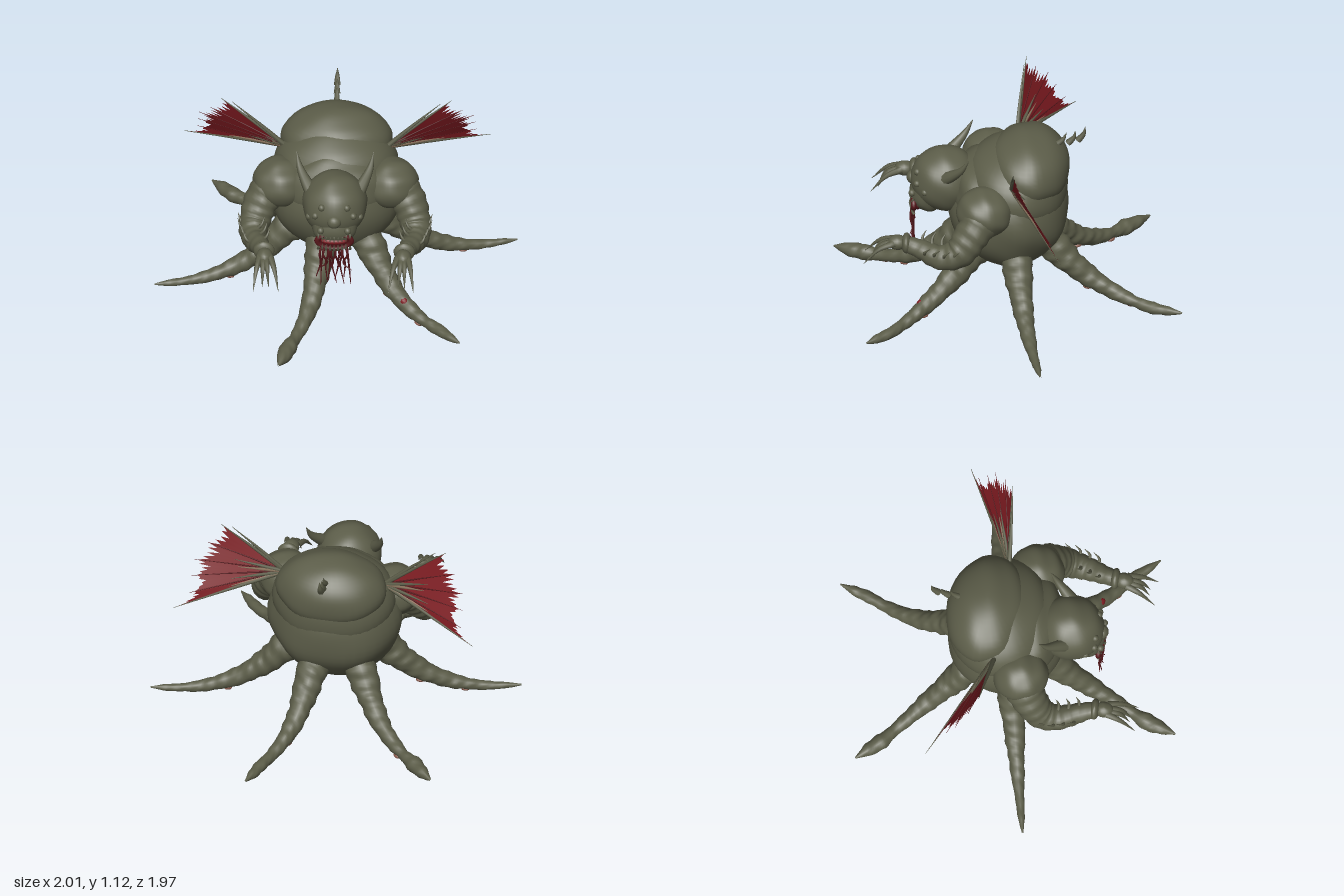
import * as THREE from 'three';
import { mergeVertices } from 'three/addons/utils/BufferGeometryUtils.js';

const mat = (name, color, side = THREE.FrontSide) => {
  const m = new THREE.MeshStandardMaterial({ color, side });
  m.name = name;
  return m;
};

export function createModel() {
  const model = new THREE.Group();
  model.name = 'creature';
  const skin = mat('olive skin', 0x5c5d49);
  const membraneRed = mat('wing red', 0x7c1a20, THREE.DoubleSide);
  const gore = mat('dark red flesh', 0x55161a);
  const sore = mat('sore pink', 0x8a5a4c);
  const bone = mat('tan bone', 0x86705a);

  const add = (parent, name, geometry, material) => {
    const mesh = new THREE.Mesh(geometry, material);
    mesh.name = name;
    parent.add(mesh);
    return mesh;
  };
  const group = (parent, name) => {
    const g = new THREE.Group();
    g.name = name;
    parent.add(g);
    return g;
  };

  // Swept limb: points are [x, y, z, radius]; bump scales the radius along and around it
  const limb = (points, rings = 24, sides = 14, bump = () => 1) => {
    const path = new THREE.CatmullRomCurve3(points.map(p => new THREE.Vector3(p[0], p[1], p[2])));
    const { normals, binormals } = path.computeFrenetFrames(rings, false);
    const pos = [], index = [];
    for (let i = 0; i <= rings; i++) {
      const t = i / rings;
      const c = path.getPointAt(t);
      // radius follows the same curve parameter as the position
      const u = path.getUtoTmapping(t) * (points.length - 1);
      const k = Math.min(Math.floor(u), points.length - 2);
      const radius = THREE.MathUtils.lerp(points[k][3], points[k + 1][3], u - k);
      for (let j = 0; j < sides; j++) {
        const a = (j / sides) * Math.PI * 2;
        const r = radius * bump(t, a);
        const v = c.clone().addScaledVector(normals[i], Math.cos(a) * r).addScaledVector(binormals[i], Math.sin(a) * r);
        pos.push(v.x, v.y, v.z);
        if (i < rings) {
          const j2 = (j + 1) % sides;
          const p = i * sides + j, q = i * sides + j2;
          index.push(p, q, p + sides, q, q + sides, p + sides);
        }
      }
    }
    const g = new THREE.BufferGeometry();
    g.setAttribute('position', new THREE.Float32BufferAttribute(pos, 3));
    g.setIndex(index);
    g.computeVertexNormals();
    return g;
  };

  // Lumpy ellipsoid
  const blob = (center, radii, lump = 0.012, w = 40, h = 28) => {
    let g = new THREE.SphereGeometry(1, w, h);
    g.deleteAttribute('uv');
    g.deleteAttribute('normal');
    g = mergeVertices(g);
    const p = g.attributes.position;
    for (let i = 0; i < p.count; i++) {
      const x = p.getX(i), y = p.getY(i), z = p.getZ(i);
      const s = 1 + lump * (Math.sin(7 * x + 3 * y) + Math.sin(8 * y - 5 * z) + Math.sin(9 * z + 4 * x));
      p.setXYZ(i, center[0] + x * radii[0] * s, center[1] + y * radii[1] * s, center[2] + z * radii[2] * s);
    }
    g.computeVertexNormals();
    return g;
  };

  const spike = (a, mid, b, r) => limb([[...a, r], [...mid, r * 0.65], [...b, 0.001]], 8, 7);

  // Body
  add(model, 'belly', blob([0, 0.565, -0.005], [0.375, 0.345, 0.335], 0.01), skin);
  add(model, 'backHump', blob([0, 0.815, -0.115], [0.31, 0.21, 0.23], 0.008), skin);
  add(model, 'upperBody', blob([0, 0.7, -0.04], [0.345, 0.27, 0.295], 0.006), skin);
  add(model, 'chest', blob([0, 0.67, 0.13], [0.29, 0.22, 0.18]), skin);

  // Spines standing behind the hump
  const spines = group(model, 'backSpines');
  [[0.95, -0.265, 1.03, -0.325], [0.965, -0.335, 1.045, -0.375], [0.985, -0.39, 1.075, -0.43]].forEach(([y, z, ty, tz]) =>
    add(spines, 'spine', spike([0, y, z], [0, (y + ty) / 2 - 0.005, (z + tz) / 2 - 0.01], [0, ty, tz], 0.02), skin));

  // Head
  const head = group(model, 'head');
  add(head, 'skull', blob([0, 0.715, 0.35], [0.18, 0.185, 0.19], 0.008), skin);
  add(head, 'muzzle', blob([0, 0.635, 0.44], [0.13, 0.12, 0.105]), skin);
  add(head, 'nose', blob([0, 0.715, 0.53], [0.04, 0.038, 0.035], 0, 16, 12), skin);
  for (const s of [-1, 1]) {
    [[0.07, 0.79, 0.5], [0.105, 0.735, 0.5], [0.075, 0.655, 0.53], [0.14, 0.7, 0.455]].forEach(e =>
      add(head, 'eye', blob([s * e[0], e[1], e[2]], [0.02, 0.02, 0.02], 0, 12, 9), skin));
    add(head, 'horn', limb([[s * 0.11, 0.76, 0.37, 0.042], [s * 0.155, 0.82, 0.31, 0.033],
      [s * 0.195, 0.885, 0.25, 0.019], [s * 0.215, 0.965, 0.205, 0.001]], 14, 10), skin);
  }

  // Mouth: red rims, dark teeth and hanging tendrils
  const mouth = group(head, 'mouth');
  const lips = add(mouth, 'lips', new THREE.TorusGeometry(0.085, 0.016, 10, 30), gore);
  lips.position.set(0, 0.58, 0.52);
  lips.scale.set(1.1, 0.55, 1);
  add(mouth, 'throat', blob([0, 0.575, 0.5], [0.09, 0.05, 0.035], 0, 20, 14), gore);
  add(mouth, 'tongue', blob([0, 0.58, 0.52], [0.075, 0.02, 0.025], 0, 16, 10), membraneRed);
  for (let i = 0; i < 9; i++) {
    const x = (i - 4) * 0.022, z = 0.54 - 0.2 * Math.abs(x);
    add(mouth, 'upperTooth', spike([x, 0.625, z - 0.005], [x, 0.61, z + 0.006], [x, 0.58, z + 0.006], 0.008), skin);
    add(mouth, 'lowerTooth', spike([x, 0.525, z - 0.005], [x, 0.54, z + 0.006], [x, 0.57, z + 0.006], 0.009), skin);
  }
  for (let i = 0; i < 13; i++) {
    const f = i / 6 - 1, w = Math.sin(i * 2.4), end = 0.34 + 0.06 * Math.sin(i * 4.1);
    add(mouth, 'tendril', limb([[f * 0.07, 0.55, 0.52, 0.006], [f * 0.08 + 0.008 * w, 0.5, 0.54, 0.006],
      [f * 0.075 - 0.012 * w, 0.43, 0.525, 0.0055], [f * 0.1 + 0.014 * w, end, 0.53 + 0.012 * w, 0.002]], 12, 6), gore);
  }

  // Arms, with clawed hands and forearm spikes
  for (const s of [-1, 1]) {
    const arm = group(model, s > 0 ? 'leftArm' : 'rightArm');
    add(arm, 'shoulder', blob([s * 0.305, 0.69, 0.115], [0.155, 0.14, 0.155]), skin);
    add(arm, 'armLimb', limb([[s * 0.34, 0.69, 0.12, 0.11], [s * 0.41, 0.6, 0.18, 0.098], [s * 0.45, 0.5, 0.26, 0.085],
      [s * 0.45, 0.475, 0.35, 0.07], [s * 0.415, 0.5, 0.46, 0.055], [s * 0.39, 0.525, 0.55, 0.043]], 44, 18,
      (t, a) => 1 + 0.035 * Math.sin(t * 62 + Math.sin(a)) + 0.025 * Math.sin(3 * a + t * 20)), skin);
    add(arm, 'wristCuff', blob([s * 0.39, 0.525, 0.545], [0.06, 0.058, 0.028], 0.01, 20, 12), skin);
    add(arm, 'palm', blob([s * 0.385, 0.525, 0.595], [0.045, 0.042, 0.055], 0.01, 20, 14), skin);
    [0.305, 0.36, 0.395, 0.445].forEach((x, i) => {
      const reach = i % 3 ? 0.74 : 0.78, root = 0.385 + (x - 0.38) * 0.4;
      add(arm, 'claw', spike([s * root, 0.53, 0.61], [s * (root + x) / 2, 0.505, 0.69], [s * x, 0.415, reach], 0.021), skin);
    });
    for (let i = 0; i < 4; i++) {
      const z = 0.27 + i * 0.055, x = 0.45 - Math.max(0, i - 1) * 0.015;
      add(arm, 'outerSpike', spike([s * (x + 0.045), 0.5, z], [s * (x + 0.07), 0.525, z + 0.005], [s * (x + 0.09), 0.565, z - 0.03], 0.013), skin);
      add(arm, 'innerSpike', spike([s * (x - 0.02), 0.53, z + 0.02], [s * (x - 0.045), 0.56, z + 0.02], [s * (x - 0.06), 0.595, z], 0.012), skin);
    }
  }

  // Torn wings: a smooth fan with a ragged edge, carried by thin ribs
  const tips = [[0.64, 1.12, -0.07], [0.7, 1.02, -0.12], [0.765, 0.94, -0.185], [0.77, 0.86, -0.23], [0.775, 0.775, -0.28], [0.85, 0.7, -0.335]];
  const rags = [0.99, 0.91, 0.96, 0.84, 0.93, 0.86, 0.95, 0.9];
  for (const s of [-1, 1]) {
    const wing = group(model, s > 0 ? 'leftWing' : 'rightWing');
    const root = new THREE.Vector3(s * 0.28, 0.825, -0.035);
    const ends = tips.map(p => new THREE.Vector3(s * p[0], p[1], p[2]));
    const pos = [...root], index = [];
    for (let i = 0; i < ends.length - 1; i++) rags.forEach((f, k) => {
      const p = ends[i].clone().lerp(ends[i + 1], k / rags.length).sub(root);
      pos.push(...p.multiplyScalar(f - 0.025 * (1 + Math.sin(i * 5 + k * 3))).add(root));
    });
    pos.push(...ends[ends.length - 1]);
    for (let i = 1; i < pos.length / 3 - 1; i++) index.push(0, i, i + 1);
    const g = new THREE.BufferGeometry();
    g.setAttribute('position', new THREE.Float32BufferAttribute(pos, 3));
    g.setIndex(index);
    g.computeVertexNormals();
    add(wing, 'membrane', g, membraneRed);
    ends.forEach((e, i) => {
      const outer = i === 0 || i === 5;
      const m = root.clone().lerp(e, 0.5);
      add(wing, 'rib', spike(root.toArray(), [m.x, m.y + 0.003, m.z], e.toArray(), outer ? 0.013 : 0.006), outer ? skin : gore);
    });
    add(wing, 'leadingSpur', spike(root.toArray(), [s * 0.42, 0.96, -0.045], [s * 0.58, 1.105, -0.06], 0.014), skin);
    // Bare struts near the wing root
    [[0.55, 0.93, -0.125, skin], [0.53, 0.885, -0.13, bone], [0.56, 0.825, -0.165, skin], [0.6, 0.775, -0.195, bone]].forEach(([x, y, z, m]) =>
      add(wing, 'strut', spike(root.toArray(), [s * (x + 0.28) / 2, (y + 0.825) / 2, (z - 0.035) / 2], [s * x, y, z], 0.013), m));
  }

  // Six radial tentacle legs, sixty degrees apart; club is the thickness near the tip
  const legs = group(model, 'legs');
  const clubs = [0.033, 0.024, 0.034, 0.045, 0.024, 0.048];
  clubs.forEach((club, i) => {
    const leg = group(legs, 'leg');
    leg.rotation.y = THREE.MathUtils.degToRad(-47 + 60 * i);
    const bend = 0.025 * Math.sin(i * 2.1 + 1);
    add(leg, 'tentacle', limb([[0.16, 0.42, 0, 0.094], [0.27, 0.34, 0, 0.09], [0.38, 0.235, bend / 2, 0.07], [0.5, 0.15, bend, 0.055],
      [0.62, 0.095, bend, 0.044], [0.76, 0.06, bend / 2, 0.031], [0.85, 0.052, 0, club], [0.95, 0.052, 0, club * 0.75], [1.03, 0.055, 0, 0.004]],
      80, 16, (t, a) => 1 + 0.04 * Math.sin(t * 75 + i + Math.sin(a + i)) + 0.04 * Math.sin(t * 31 + 2 * a) + 0.025 * Math.sin(5 * a + t * 90)), skin);
    // Raw patches along the underside
    [[0.47, 0.112, 0.02], [0.6, 0.062, -0.012], [0.72, 0.042, 0.008]].forEach(([x, y, z]) =>
      add(leg, 'sorePatch', blob([x, y, z + bend], [0.026, 0.014, 0.02], 0.05, 12, 8), sore));
    if (i === 0) add(leg, 'woundPatch', blob([0.6, 0.127, bend + 0.012], [0.03, 0.024, 0.024], 0.04, 12, 8), membraneRed);
  });

  return model;
}
